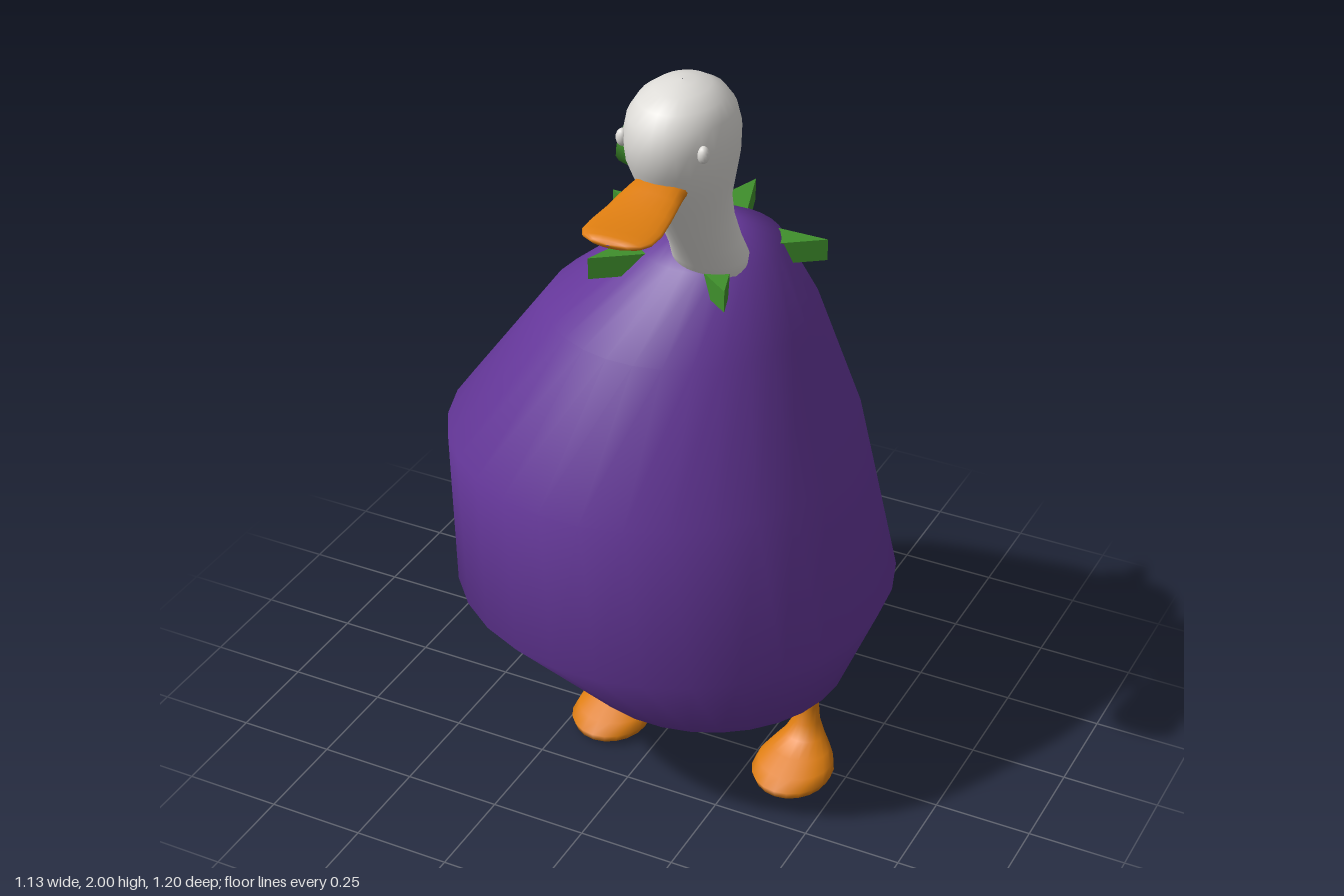
import * as THREE from 'three';

const mat = (name, color, extra) => Object.assign(new THREE.MeshStandardMaterial({ color }), { name });
const purple = mat('aubergine purple', 0x65379a);
const white = mat('feather white', 0xdedcd8);
const orange = mat('bill orange', 0xdd7d10);
const green = mat('stem green', 0x3f8f2c);

// Skin a list of elliptical rings { c: centre, u, v: half axes }; u x v points back along the loft
function loft(rings, n) {
  const pos = [], idx = [];
  for (const { c, u, v } of rings)
    for (let j = 0; j < n; j++) {
      const a = (j / n) * Math.PI * 2, s = Math.sin(a), k = Math.cos(a);
      for (let i = 0; i < 3; i++) pos.push(c[i] + u[i] * k + v[i] * s);
    }
  for (let i = 0; i < rings.length - 1; i++)
    for (let j = 0; j < n; j++) {
      const a = i * n + j, b = i * n + (j + 1) % n;
      idx.push(a, a + n, b, b, a + n, b + n);
    }
  const g = new THREE.BufferGeometry();
  g.setAttribute('position', new THREE.Float32BufferAttribute(pos, 3));
  g.setIndex(idx);
  g.computeVertexNormals();
  return g;
}

// Level rings from [y, front z, back z, half width], centred on x
const upright = (x, rows) => rows.map(([y, f, b, hx]) =>
  ({ c: [x, y, (f + b) / 2], u: [hx, 0, 0], v: [0, 0, (f - b) / 2] }));

// Upright rings running along z from [z, top y, bottom y, half width]; dir is +1 or -1
const along = (x, dir, rows) => rows.map(([z, t, b, hx]) =>
  ({ c: [x, (t + b) / 2, z], u: [hx, 0, 0], v: [0, -dir * (t - b) / 2, 0] }));

export function createModel() {
  const model = new THREE.Group();
  const add = (name, geo, material) => {
    const m = new THREE.Mesh(geo, material);
    m.name = name;
    model.add(m);
    return m;
  };

  // Lopsided body: [y, centre x, centre z, radius]
  const body = [
    [0.25, 0.1, -0.015, 0.001], [0.255, 0.1, -0.015, 0.17], [0.275, 0.105, -0.015, 0.355],
    [0.53, 0.01, -0.01, 0.555], [0.93, -0.048, -0.012, 0.517], [1.28, 0.022, -0.015, 0.332],
    [1.475, 0.1, 0, 0.178], [1.515, 0.08, 0.005, 0.09], [1.52, 0.075, 0, 0.001],
  ].map(([y, x, z, r]) => ({ c: [x, y, z], u: [r, 0, 0], v: [0, 0, r] }));
  add('body', loft(body, 30), purple);

  // Five pointed leaf collar
  const star = new THREE.Shape();
  for (let i = 0; i < 10; i++) {
    const r = i % 2 ? 0.115 : 0.3, a = Math.PI / 2 + i * Math.PI / 5;
    star[i ? 'lineTo' : 'moveTo'](r * Math.cos(a), r * Math.sin(a));
  }
  const collar = new THREE.ExtrudeGeometry(star, { depth: 0.055, bevelEnabled: false });
  collar.rotateX(-Math.PI / 2).translate(0.07, 1.423, -0.02);
  add('leafCollar', collar, green);

  // Bent stem: [x, y, z, direction angle, radius]
  const stem = [
    [0.055, 1.46, -0.018, 90, 0.074], [0.055, 1.58, -0.017, 92, 0.074],
    [0.045, 1.635, -0.018, 118, 0.08], [0.005, 1.665, -0.022, 150, 0.08],
    [-0.125, 1.687, -0.035, 168, 0.073],
  ].map(([x, y, z, deg, r]) => {
    const a = deg * Math.PI / 180;
    return { c: [x, y, z], u: [0, 0, r], v: [-r * Math.sin(a), r * Math.cos(a), 0] };
  });
  add('stem', loft(stem, 12), green);
  const end = stem[stem.length - 1];
  add('stemEnd', loft([end, { c: end.c, u: [0, 0, 0], v: [0, 0, 0] }], 12), green);

  // Neck and head in one skin
  add('neckAndHead', loft(upright(0.15, [
    [1.43, 0.11, 0.09, 0.01], [1.45, 0.15, 0.045, 0.088], [1.5, 0.182, 0.016, 0.093],
    [1.55, 0.215, 0.038, 0.084], [1.62, 0.264, 0.07, 0.083], [1.7, 0.317, 0.103, 0.095],
    [1.76, 0.358, 0.097, 0.11], [1.82, 0.392, 0.085, 0.122], [1.88, 0.405, 0.084, 0.126],
    [1.93, 0.393, 0.1, 0.116], [1.965, 0.365, 0.128, 0.094], [1.988, 0.322, 0.168, 0.062],
    [1.998, 0.28, 0.21, 0.028], [2, 0.246, 0.244, 0.001],
  ]), 28), white);

  // Eyes
  for (const s of [-1, 1]) {
    const eye = add(s > 0 ? 'leftEye' : 'rightEye', new THREE.SphereGeometry(1, 14, 10), white);
    eye.scale.set(0.014, 0.021, 0.015);
    eye.position.set(0.15 + s * 0.1, 1.88, 0.343);
  }

  // Flat bill
  add('bill', loft(along(0.15, 1, [
    [0.32, 1.812, 1.752, 0.06], [0.37, 1.808, 1.75, 0.066], [0.41, 1.797, 1.749, 0.073],
    [0.46, 1.783, 1.746, 0.08], [0.52, 1.775, 1.743, 0.088], [0.56, 1.773, 1.743, 0.086],
    [0.585, 1.771, 1.745, 0.072], [0.599, 1.767, 1.749, 0.046], [0.603, 1.759, 1.757, 0.005],
  ]), 20), orange);

  // Tail tuft
  add('tail', loft(along(0.13, -1, [
    [-0.48, 0.695, 0.625, 0.1], [-0.51, 0.71, 0.612, 0.1], [-0.545, 0.703, 0.606, 0.077],
    [-0.575, 0.682, 0.632, 0.046], [-0.595, 0.67, 0.648, 0.018], [-0.602, 0.66, 0.658, 0.001],
  ]), 16), white);

  // Legs with webbed feet
  for (const [name, x] of [['rightLeg', -0.145], ['leftLeg', 0.375]])
    add(name, loft(upright(x, [
      [0.005, 0.06, 0.058, 0.001], [0.006, 0.13, -0.04, 0.07], [0.014, 0.163, -0.054, 0.094],
      [0.035, 0.17, -0.06, 0.104], [0.055, 0.135, -0.06, 0.096], [0.075, 0.08, -0.06, 0.077],
      [0.1, 0.032, -0.06, 0.053], [0.135, 0.008, -0.058, 0.035], [0.18, 0, -0.058, 0.029],
      [0.228, 0, -0.058, 0.029], [0.235, -0.006, -0.052, 0.023], [0.235, -0.028, -0.03, 0.001],
    ]), 20), orange);

  return model;
}
